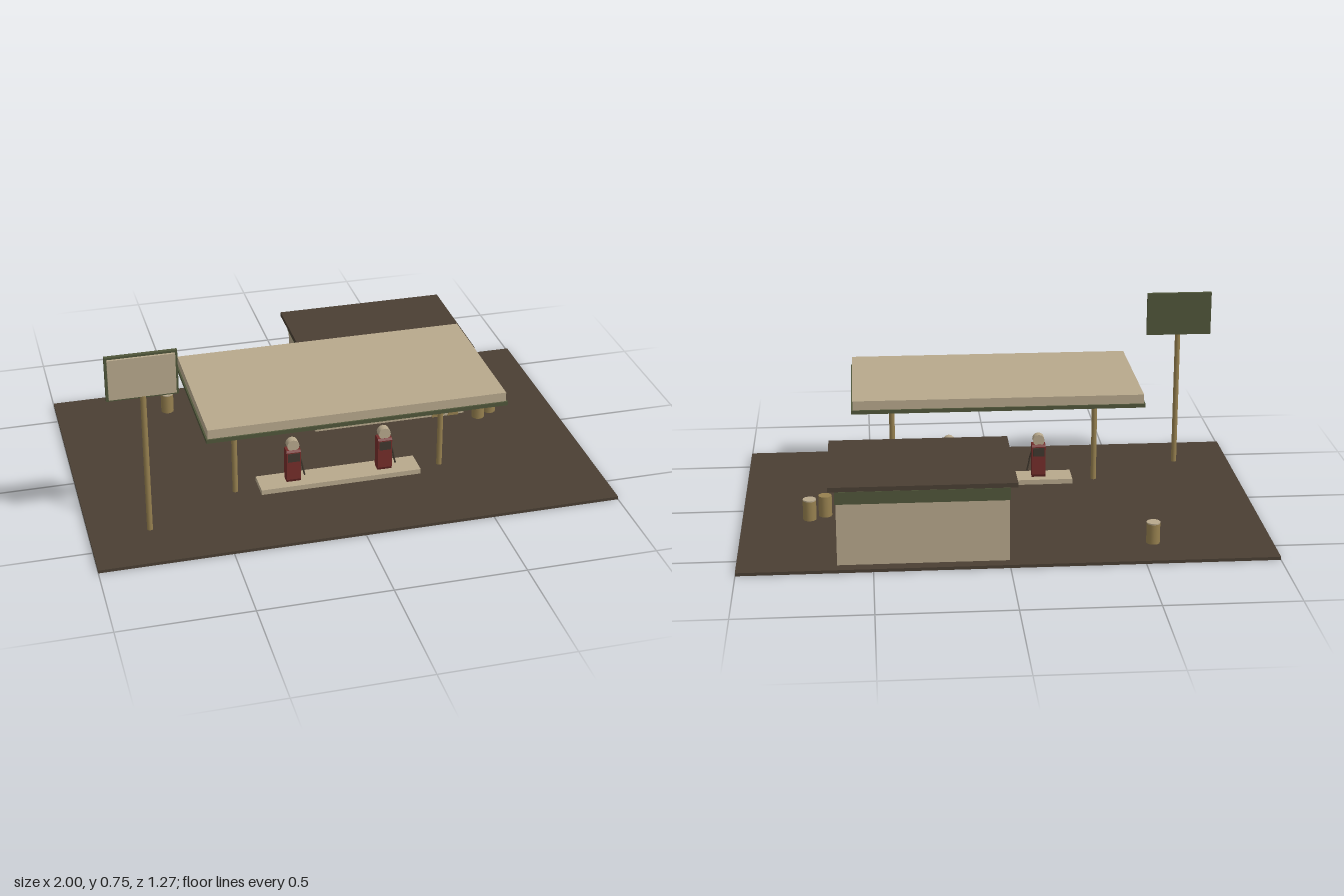
import * as THREE from 'three';

const mat = (name, color, extra = {}) => {
  const m = new THREE.MeshStandardMaterial({ color, ...extra });
  m.name = name;
  return m;
};

export function createModel() {
  const root = new THREE.Group();
  root.name = 'fillingStation';
  const beige = mat('beige', 0xb7a88c);
  const green = mat('olive green', 0x50563a);
  const asphalt = mat('dark brown', 0x4a3f33);
  const tan = mat('tan', 0x96804f);
  const red = mat('faded red', 0x742d2a);
  const dark = mat('dark glass', 0x40382e);

  const add = (parent, name, geo, material, x = 0, y = 0, z = 0) => {
    const m = new THREE.Mesh(geo, material);
    m.name = name;
    m.position.set(x, y, z);
    parent.add(m);
    return m;
  };
  // Box given by its limits on each axis
  const box = (parent, name, material, [x0, x1], [y0, y1], [z0, z1]) =>
    add(parent, name, new THREE.BoxGeometry(x1 - x0, y1 - y0, z1 - z0), material,
      (x0 + x1) / 2, (y0 + y1) / 2, (z0 + z1) / 2);
  const post = (parent, name, material, x, z, y0, y1, r, sides = 12) =>
    add(parent, name, new THREE.CylinderGeometry(r, r, y1 - y0, sides), material, x, (y0 + y1) / 2, z);
  // Thin plate facing +z with its outline in x, y
  const plate = (parent, name, material, pts, z, depth = 0.004) => {
    const shape = new THREE.Shape(pts.map(p => new THREE.Vector2(...p)));
    return add(parent, name, new THREE.ExtrudeGeometry(shape, { depth, bevelEnabled: false }), material, 0, 0, z);
  };
  const group = (name) => {
    const g = new THREE.Group();
    g.name = name;
    root.add(g);
    return g;
  };

  const G = 0.012; // ground level
  box(root, 'ground', asphalt, [-1, 1], [0, G], [-0.635, 0.635]);

  // Shop building
  const shop = group('shop');
  box(shop, 'walls', beige, [0, 0.632], [G, 0.308], [-0.59, -0.135]);
  box(shop, 'fasciaBand', green, [-0.004, 0.636], [0.25, 0.298], [-0.594, -0.131]);
  box(shop, 'roof', asphalt, [-0.028, 0.66], [0.308, 0.325], [-0.618, -0.11]);
  plate(shop, 'leftWindow', dark, [[0.065, 0.095], [0.225, 0.098], [0.225, 0.165], [0.235, 0.19],
    [0.2, 0.215], [0.06, 0.212]], -0.135, 0.006);
  plate(shop, 'rightWindow', dark, [[0.305, 0.098], [0.465, 0.092], [0.465, 0.215], [0.3, 0.215]], -0.135, 0.006);

  // Door with weathered patches
  box(shop, 'door', beige, [0.494, 0.606], [G, 0.205], [-0.136, -0.13]);
  const patches = [
    [[0.494, 0.15], [0.53, 0.145], [0.55, 0.165], [0.59, 0.155], [0.606, 0.17], [0.606, 0.205], [0.494, 0.205]],
    [[0.494, G], [0.535, G], [0.545, 0.045], [0.535, 0.085], [0.515, 0.1], [0.494, 0.095]],
    [[0.565, 0.075], [0.59, 0.065], [0.606, 0.075], [0.606, 0.135], [0.58, 0.135], [0.56, 0.11]],
    [[0.56, G], [0.606, G], [0.606, 0.04], [0.575, 0.045]],
  ];
  patches.forEach(p => plate(shop, 'doorPatch', tan, p, -0.13, 0.002));
  const trim = [[[0.606, 0.17], [0.628, 0.17], [0.628, 0.205], [0.606, 0.205]],
    [[0.606, 0.08], [0.628, 0.095], [0.628, 0.125], [0.606, 0.135]],
    [[0.225, 0.175], [0.245, 0.175], [0.245, 0.19], [0.225, 0.19]]];
  trim.forEach(p => plate(shop, 'wallPatch', tan, p, -0.135, 0.002));
  for (const z of [-0.253, -0.432]) {
    const spot = add(shop, 'sideWallSpot', new THREE.CylinderGeometry(0.01, 0.01, 0.003, 7), tan, 0.633, 0.182, z);
    spot.rotation.z = Math.PI / 2;
  }

  // Canopy on two posts
  const canopy = group('canopy');
  box(canopy, 'canopyRoof', beige, [-0.565, 0.565], [0.43, 0.466], [-0.066, 0.522]);
  box(canopy, 'canopyTrim', green, [-0.571, 0.571], [0.415, 0.43], [-0.072, 0.528]);
  for (const x of [-0.41, 0.41]) post(canopy, 'canopyPost', tan, x, 0.228, G, 0.416, 0.011);

  // Pump island
  box(root, 'pumpIsland', beige, [-0.318, 0.318], [G, 0.032], [0.176, 0.283]);
  for (const x of [-0.183, 0.181]) {
    const pump = group('fuelPump');
    pump.position.set(x, 0.032, 0.229);
    const side = new THREE.Shape([[-0.017, 0], [0.017, 0], [0.023, 0.012], [0.023, 0.13],
      [0.017, 0.138], [-0.017, 0.138], [-0.023, 0.13], [-0.023, 0.012]].map(p => new THREE.Vector2(...p)));
    const body = new THREE.ExtrudeGeometry(side, { depth: 0.056, bevelEnabled: false });
    body.translate(0, 0, -0.028).rotateY(-Math.PI / 2);
    add(pump, 'pumpBody', body, red);
    for (const s of [-1, 1])
      box(pump, 'pumpDisplay', dark, [-0.023, 0.023], [0.09, 0.126], [s * 0.0235 - 0.0015, s * 0.0235 + 0.0015]);
    const globe = add(pump, 'pumpGlobe', new THREE.CylinderGeometry(0.024, 0.024, 0.032, 12), beige, 0, 0.156, 0);
    globe.rotation.x = Math.PI / 2;
    const hose = new THREE.CatmullRomCurve3([[0.027, 0.1, 0.006], [0.034, 0.075, 0.01],
      [0.039, 0.045, 0.012], [0.045, 0.02, 0.012]].map(p => new THREE.Vector3(...p)));
    add(pump, 'pumpHose', new THREE.TubeGeometry(hose, 8, 0.0035, 6), dark);
  }

  // Roadside sign
  const sign = group('roadSign');
  post(sign, 'signPole', tan, -0.773, 0.41, G, 0.58, 0.011);
  box(sign, 'signBack', green, [-0.906, -0.643], [0.57, 0.745], [0.395, 0.41]);
  box(sign, 'signPanel', beige, [-0.897, -0.652], [0.579, 0.737], [0.41, 0.419]);

  // Oil drums
  const drums = [[-0.55, -0.46, beige], [0.68, -0.095, tan], [0.74, -0.13, beige]];
  for (const [x, z, lid] of drums) {
    post(root, 'oilDrum', tan, x, z, G, 0.093, 0.026, 12);
    post(root, 'drumLid', lid, x, z, 0.09, 0.095, 0.0262, 12);
  }
  return root;
}
